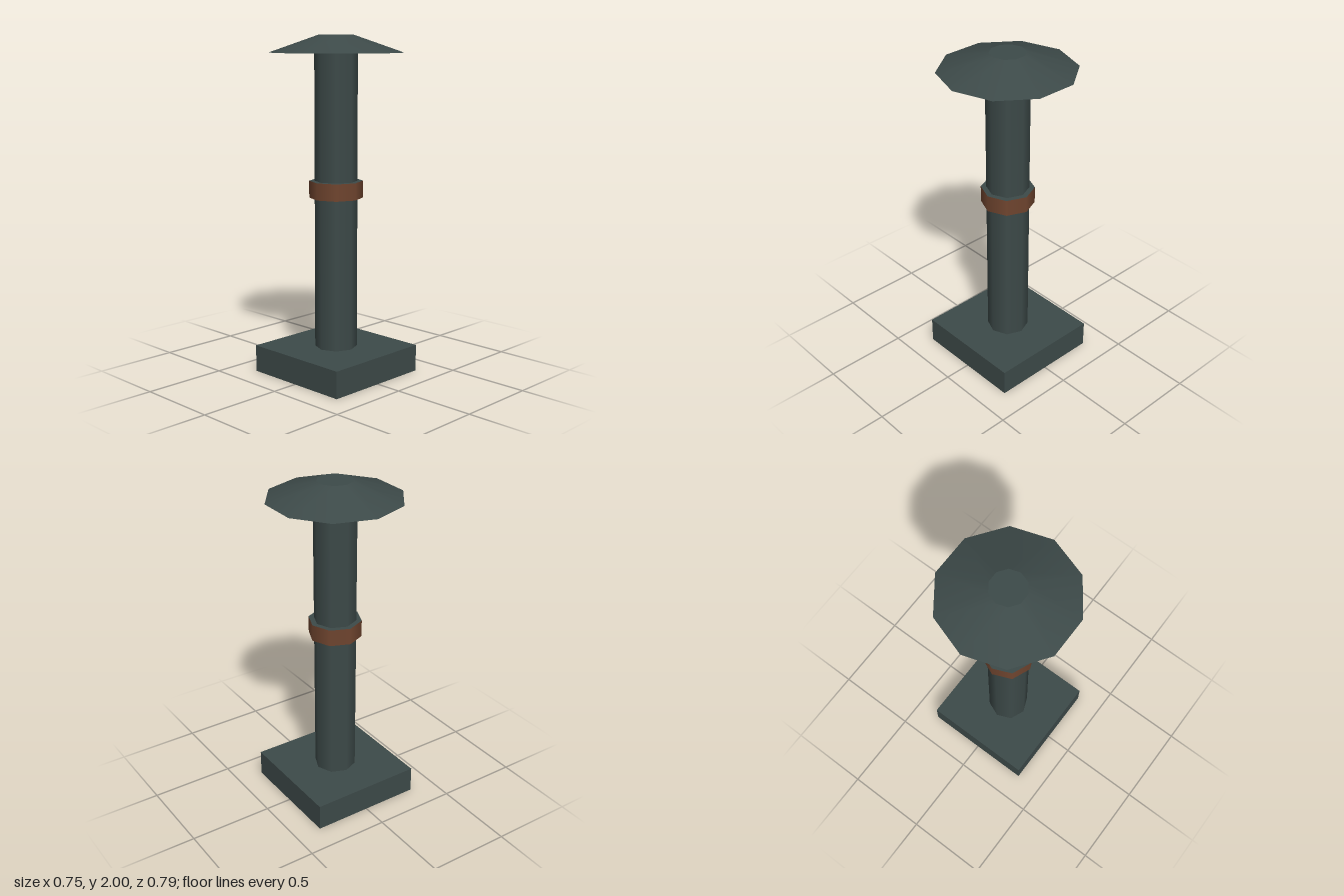
import * as THREE from 'three';

export function createModel() {
  const model = new THREE.Group();
  const iron = new THREE.MeshStandardMaterial({ color: 0x3d4a49 });
  iron.name = 'darkIron';
  const rust = new THREE.MeshStandardMaterial({ color: 0x70452f });
  rust.name = 'rustBrown';

  const add = (name, geometry, material, y) => {
    const mesh = new THREE.Mesh(geometry, material);
    mesh.name = name;
    mesh.position.y = y;
    model.add(mesh);
  };

  // Square foot
  add('base', new THREE.BoxGeometry(0.68, 0.16, 0.68), iron, 0.08);

  // Eight-sided pipe from the foot to the cap
  add('pipe', new THREE.CylinderGeometry(0.125, 0.125, 1.74, 8), iron, 1.03);

  // Band: brown sides, iron top and bottom
  add('band', new THREE.CylinderGeometry(0.157, 0.157, 0.1, 8), [rust, iron, iron], 1.11);

  // Ten-sided rain cap
  add('cap', new THREE.CylinderGeometry(0.104, 0.393, 0.1, 10), iron, 1.95);

  return model;
}
